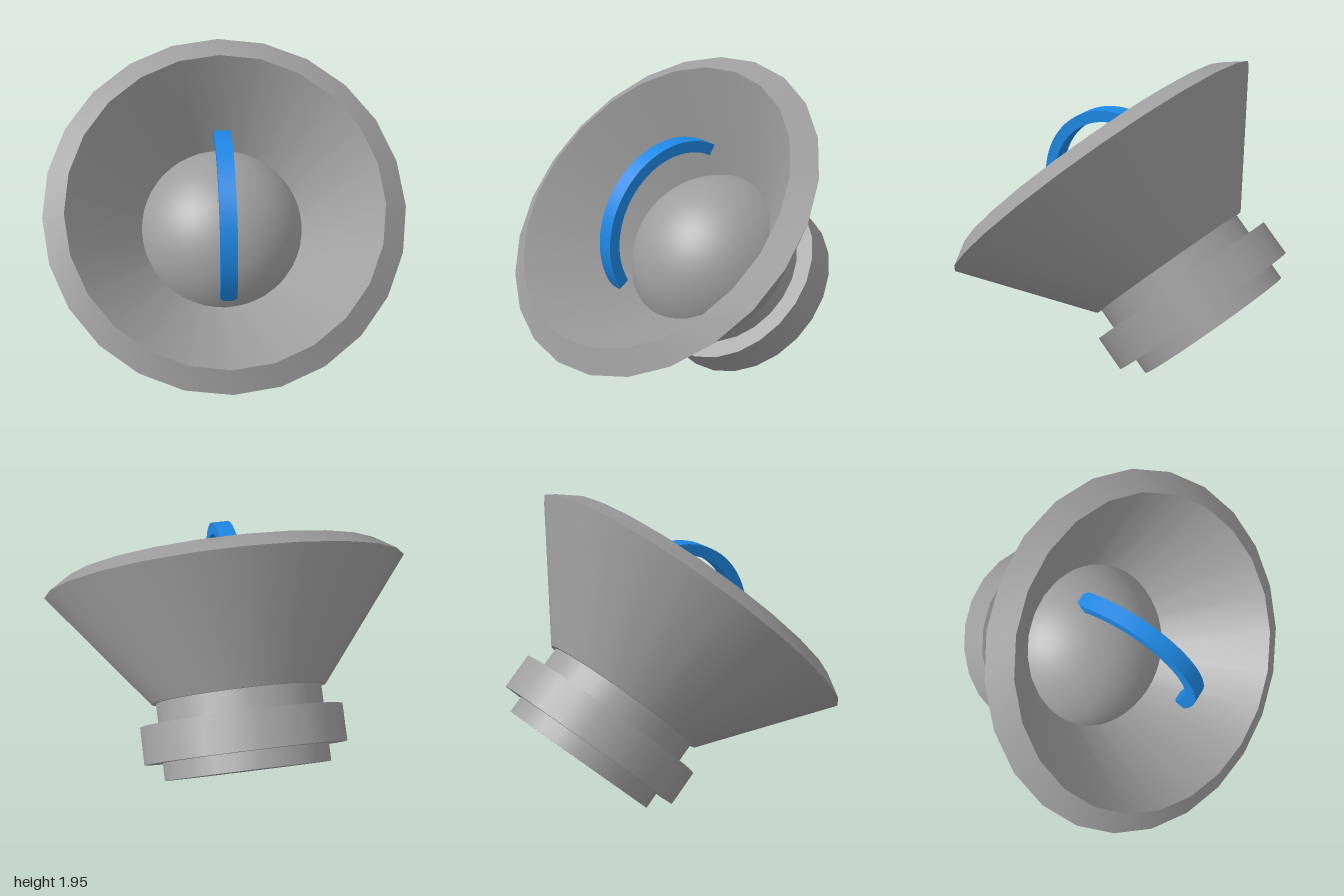
import * as THREE from 'three';
import { toCreasedNormals } from 'three/addons/utils/BufferGeometryUtils.js';

export function createModel() {
  const model = new THREE.Group();
  model.name = 'tiltedHorn';
  const grey = new THREE.MeshStandardMaterial({ color: 0x9e9e9e });
  grey.name = 'grey';
  const blue = new THREE.MeshStandardMaterial({ color: 0x1e88e5 });
  blue.name = 'blue';

  // Local y is the horn axis: tipped 45 degrees, then turned to the front left
  const horn = new THREE.Group();
  horn.name = 'horn';
  horn.position.set(0.055, 1.18, 0.055);
  horn.rotation.order = 'YXZ';
  horn.rotation.set(0, -Math.PI / 4, -Math.PI / 4);
  model.add(horn);

  const SIDES = 24;
  const add = (name, geometry, material, y = 0) => {
    const mesh = new THREE.Mesh(geometry, material);
    mesh.name = name;
    mesh.position.y = y;
    horn.add(mesh);
  };
  const disc = (name, radius, y0, y1) =>
    add(name, new THREE.CylinderGeometry(radius, radius, y1 - y0, SIDES), grey, (y0 + y1) / 2);

  // Stepped base
  disc('backPlug', 0.5, -1.16, -1.0);
  disc('flange', 0.61, -1.054, -0.83);
  disc('neck', 0.5, -0.9, -0.66);

  // Thick flared cone with a bevelled rim, open at the front
  const profile = [[0, -0.7], [0.53, -0.7], [1.09, 0], [0.955, 0.09], [0.42, -0.58]]
    .map(([r, y]) => new THREE.Vector2(r, y));
  add('cone', toCreasedNormals(new THREE.LatheGeometry(profile, SIDES), 0.6), grey);

  // Dome at the bottom of the cone
  add('dome', new THREE.SphereGeometry(0.567, 48, 24, 0, Math.PI * 2, 0, 1.31), grey, -0.725);

  // Curved bar: a box bent into an arc, with its ends slightly rounded
  const radius = 0.505, sweep = THREE.MathUtils.degToRad(154);
  const bar = new THREE.BoxGeometry(sweep, 0.07, 0.1, 48, 1, 1);
  const p = bar.attributes.position;
  for (let i = 0; i < p.count; i++) {
    const a = p.getX(i), r = radius + p.getY(i);
    const fromEnd = sweep / 2 - Math.abs(a);
    const width = fromEnd < 0.01 ? 0.6 : 1;
    p.setXYZ(i, r * Math.sin(a), r * Math.cos(a), p.getZ(i) * width);
  }
  add('curvedBar', toCreasedNormals(bar, 0.5), blue, -0.19);

  return model;
}
